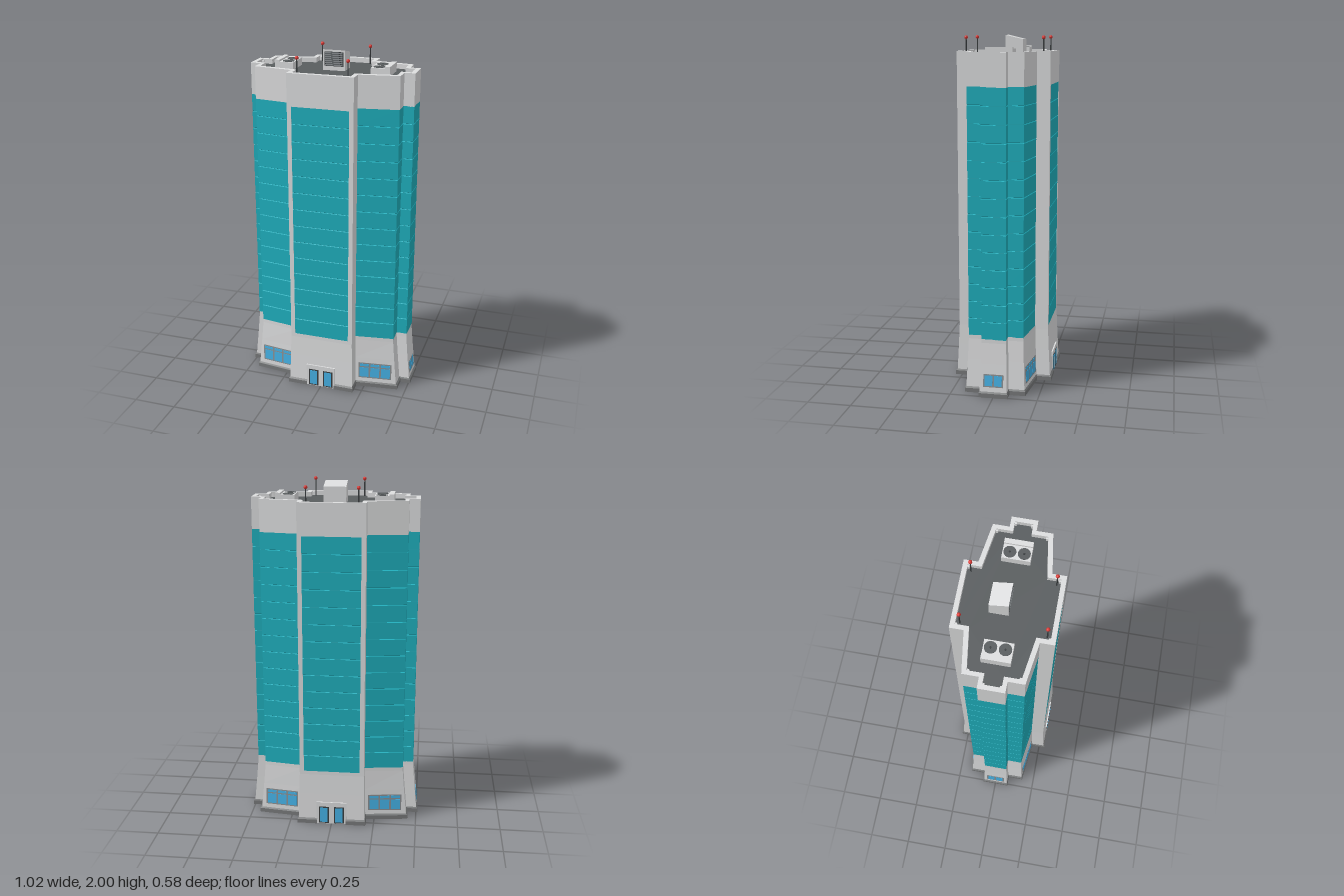
import * as THREE from 'three';

const mat = (name, color, side = THREE.FrontSide) => {
  const m = new THREE.MeshStandardMaterial({ color, side, flatShading: true });
  m.name = name;
  return m;
};

// Quarter outlines (x, z) of the stepped floor plan
const TOP = [[0.475, 0.07], [0.415, 0.07], [0.415, 0.157], [0.19, 0.19], [0.19, 0.265]];
const BASE = [[0.501, 0.078], [0.441, 0.078], [0.441, 0.168], [0.197, 0.199], [0.197, 0.279]];
const PLINTH = [[0.51, 0.083], [0.45, 0.083], [0.45, 0.174], [0.203, 0.205], [0.203, 0.288]];
const RIM = [[0.45, 0.048], [0.392, 0.048], [0.392, 0.135], [0.165, 0.168], [0.165, 0.24]];
const inset = (q, d) => q.map(([x, z]) => [x - d, z - d]);
const mix = (a, b, t) => a.map((p, i) => [p[0] + (b[i][0] - p[0]) * t, p[1] + (b[i][1] - p[1]) * t]);

// Mirror a quarter into the whole loop
function full(q) {
  const r = [...q].reverse();
  return [...q, ...r.map(([x, z]) => [-x, z]), ...q.map(([x, z]) => [-x, -z]), ...r.map(([x, z]) => [x, -z])];
}
// Mirror a quarter into the +x half, ending at the door gap
function half(q, gap) {
  const s = [...q, [gap, q[4][1]]];
  return [...s.map(([x, z]) => [x, -z]).reverse(), ...s];
}

// Wall surface through a stack of [points, y] rings
function loft(rings, closed = true) {
  const pos = [];
  for (let k = 0; k + 1 < rings.length; k++) {
    const [p, y0] = rings[k], [q, y1] = rings[k + 1];
    const n = p.length;
    for (let i = 0; i < (closed ? n : n - 1); i++) {
      const j = (i + 1) % n;
      const a = [p[i][0], y0, p[i][1]], b = [p[j][0], y0, p[j][1]];
      const c = [q[j][0], y1, q[j][1]], d = [q[i][0], y1, q[i][1]];
      pos.push(...a, ...d, ...b, ...b, ...d, ...c);
    }
  }
  const g = new THREE.BufferGeometry();
  g.setAttribute('position', new THREE.Float32BufferAttribute(pos, 3));
  g.computeVertexNormals();
  return g;
}

const slab = (pts, y) =>
  new THREE.ShapeGeometry(new THREE.Shape(pts.map(([x, z]) => new THREE.Vector2(x, z))))
    .rotateX(-Math.PI / 2).translate(0, y, 0);

export function createModel() {
  const root = new THREE.Group();
  root.name = 'officeTower';
  const M = {
    wall: mat('light concrete', 0xdddedf, THREE.DoubleSide),
    teal: mat('teal glass', 0x1fb0be),
    plinth: mat('plinth grey', 0x787a7b, THREE.DoubleSide),
    roof: mat('roof grey', 0x595d5f, THREE.DoubleSide),
    glass: mat('blue glass', 0x47b5ea),
    frame: mat('frame grey', 0x8b9093),
    dark: mat('dark metal', 0x3a3e40),
    red: mat('beacon red', 0xdc3a36),
  };
  const add = (name, geo, m, x = 0, y = 0, z = 0, parent = root) => {
    const mesh = new THREE.Mesh(geo, m);
    mesh.name = name;
    mesh.position.set(x, y, z);
    parent.add(mesh);
    return mesh;
  };
  const box = (name, w, h, d, m, x, y, z, parent) => add(name, new THREE.BoxGeometry(w, h, d), m, x, y, z, parent);

  // Flared ground storey
  add('lowerWall', loft([[full(BASE), 0], [full(BASE), 0.03], [full(mix(TOP, BASE, 0.4)), 0.19],
    [full(TOP), 0.31], [full(TOP), 0.332]]), M.wall);
  add('groundCeiling', slab(full(TOP), 0.325), M.plinth);

  // Plinth in two halves, leaving the entrance axis open
  for (const s of [1, -1]) {
    const rings = [[PLINTH, 0], [PLINTH, 0.024], [BASE, 0.032]];
    const side = add('plinth', loft(rings.map(([q, y]) => [half(q, 0.085), y]), false), M.plinth);
    const floor = add('underside', slab(half(BASE, 0.085), 0.015), M.plinth);
    side.rotation.y = floor.rotation.y = s > 0 ? 0 : Math.PI;
    box('floorEdge', 0.008, 0.03, 0.554, M.wall, s * 0.085, 0.015, 0);
  }

  // Fourteen glazed floors with fine grooves between them
  const glaze = TOP.map(([x, z], i) => [i > 2 ? 0.18 : x, i === 4 ? 0.264 : z]);
  const outer = full(glaze), inner = full(inset(glaze, 0.004));
  const first = 0.33, gap = 0.0025;
  const rings = [[outer, first]];
  for (let f = 1; f < 14; f++) {
    const y = first + f * 0.1;
    rings.push([outer, y - gap], [inner, y], [outer, y + gap]);
  }
  rings.push([outer, 1.73]);
  add('glazedFloors', loft(rings), M.teal);
  // Vertical piers framing the centre bays
  for (const sx of [1, -1]) for (const sz of [1, -1])
    box('pier', 0.025, 1.41, 0.115, M.wall, sx * 0.1775, 1.03, sz * 0.2075);

  // Top wall, parapet and roof
  add('parapet', loft([[full(TOP), 1.728], [full(TOP), 1.912], [full(RIM), 1.912], [full(RIM), 1.88]]), M.wall);
  add('roofDeck', slab(full(RIM), 1.885), M.roof);
  for (const [x, z] of full([RIM[0], RIM[2], RIM[4]]))
    box('cornerPost', 0.011, 0.02, 0.011, M.wall, x - Math.sign(x) * 0.005, 1.895, z - Math.sign(z) * 0.005);

  // Framed window, facing its local +z
  function windowUnit(x, y, z, ry, tilt, w, h, cols, rows) {
    const g = new THREE.Group();
    g.name = 'window';
    g.position.set(x, y, z);
    g.rotation.set(-tilt, ry, 0, 'YXZ');
    box('windowFrame', w, h, 0.005, M.frame, 0, 0, 0, g);
    const pw = (w - 0.006) / cols;
    let top = h / 2 - 0.003;
    for (const r of rows) {
      const ph = (h - 0.006) * r;
      for (let c = 0; c < cols; c++)
        box('windowPane', pw - 0.01, ph - 0.008, 0.003, M.glass, (c - (cols - 1) / 2) * pw, top - ph / 2, 0.002, g);
      top -= ph;
    }
    root.add(g);
  }
  for (const sx of [1, -1]) {
    for (const sz of [1, -1])
      windowUnit(sx * 0.312, 0.107, sz * 0.1806, Math.atan2(sx * 0.131, sz * 0.991), 0.045, 0.2, 0.1, 3, [0.25, 0.75]);
    windowUnit(sx * 0.4945, 0.096, 0, sx * Math.PI / 2, 0.098, 0.114, 0.074, 2, [1]);
  }

  // Entrances, front and back
  for (const s of [1, -1]) {
    const door = new THREE.Group();
    door.name = 'entrance';
    door.rotation.y = s > 0 ? 0 : Math.PI;
    root.add(door);
    box('doorSurround', 0.178, 0.138, 0.02, M.wall, 0, 0.069, 0.271, door);
    for (const sx of [1, -1]) {
      box('doorFrame', 0.06, 0.106, 0.024, M.dark, sx * 0.045, 0.057, 0.271, door);
      box('doorGlass', 0.045, 0.093, 0.027, M.glass, sx * 0.045, 0.057, 0.271, door);
    }
  }

  // Rooftop cooling units with paired fans
  for (const s of [1, -1]) {
    const cx = s > 0 ? 0.28 : -0.275;
    box('coolingUnit', 0.106, 0.045, 0.15, M.wall, cx, 1.9045, -0.005);
    box('coolingDuct', 0.028, 0.055, 0.15, M.wall, cx + s * 0.041, 1.9095, -0.005);
    for (const z of [-0.042, 0.032]) {
      add('fan', new THREE.CylinderGeometry(0.033, 0.033, 0.002, 20), M.roof, cx - s * 0.014, 1.9275, z);
      add('fanHub', new THREE.CylinderGeometry(0.006, 0.006, 0.002, 10), M.dark, cx - s * 0.014, 1.9285, z);
    }
  }

  // Stair housing with a sloping top and louvred front
  const side = new THREE.Shape([[-0.012, 1.88], [0.089, 1.88], [0.089, 1.976], [-0.012, 2]]
    .map(([x, y]) => new THREE.Vector2(x, y)));
  const housing = add('roofHousing', new THREE.ExtrudeGeometry(side, { depth: 0.127, bevelEnabled: false })
    .translate(0, 0, -0.0645), M.wall);
  housing.rotation.y = Math.PI / 2;
  box('ventPanel', 0.11, 0.08, 0.002, M.dark, -0.001, 1.949, 0.0125);
  for (let i = 0; i < 7; i++) box('louvre', 0.1, 0.0075, 0.003, M.frame, -0.001, 1.916 + i * 0.011, 0.013);

  // Corner masts with red beacons
  for (const sx of [1, -1]) for (const sz of [1, -1]) {
    add('mast', new THREE.CylinderGeometry(0.003, 0.004, 0.1, 8), M.dark, sx * 0.144, 1.933, sz * 0.22);
    add('beacon', new THREE.SphereGeometry(0.0105, 12, 8), M.red, sx * 0.144, 1.987, sz * 0.22);
  }
  return root;
}
